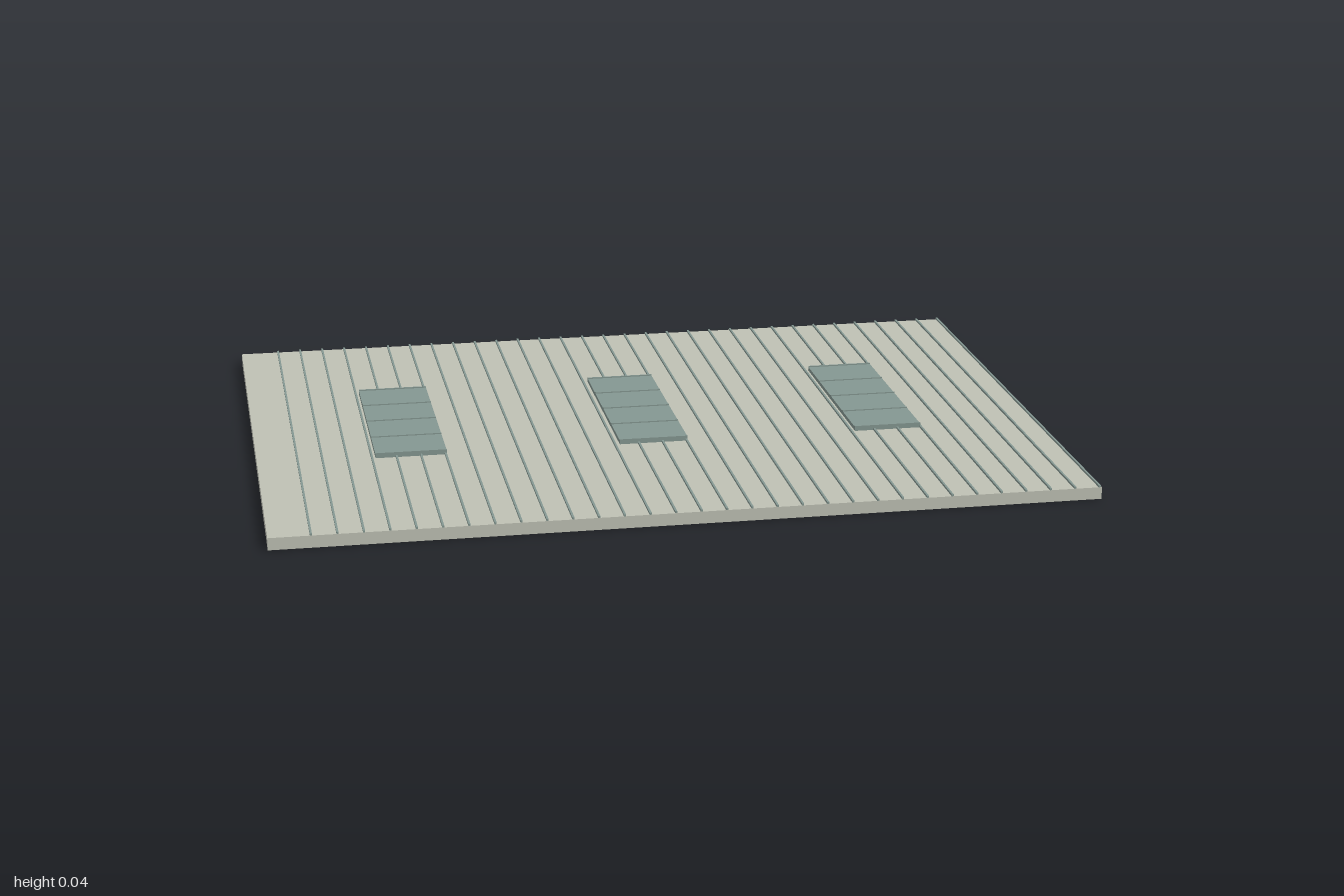
import * as THREE from 'three';

export function createModel() {
  const model = new THREE.Group();
  const sheet = new THREE.MeshStandardMaterial({ color: 0xbec0b4 });
  sheet.name = 'pale grey sheet';
  const glass = new THREE.MeshStandardMaterial({ color: 0x849791 });
  glass.name = 'grey green';

  // Box given by its limits on each axis
  const box = (name, material, [x0, x1], [y0, y1], [z0, z1], parent = model) => {
    const mesh = new THREE.Mesh(new THREE.BoxGeometry(x1 - x0, y1 - y0, z1 - z0), material);
    mesh.position.set((x0 + x1) / 2, (y0 + y1) / 2, (z0 + z1) / 2);
    mesh.name = name;
    parent.add(mesh);
  };

  // Roof slab
  const depth = 0.727, top = 0.03;
  box('roofSlab', sheet, [-1, 1], [0, top], [-depth, depth]);

  // Standing seams, with a wider plain strip at the right edge
  const seams = new THREE.Group();
  seams.name = 'seams';
  model.add(seams);
  for (let i = 0; i <= 31; i++) {
    const x = -0.9 + i * 0.0611;
    box('seam', glass, [x - 0.0025, x + 0.0025], [top, 0.035], [-depth, depth], seams);
  }

  // Skylights, each of four panes with thin cross bars at the joints
  const back = -0.31, front = 0.213, panes = 4;
  for (const [x0, x1] of [[-0.708, -0.53], [-0.093, 0.081], [0.516, 0.688]]) {
    const skylight = new THREE.Group();
    skylight.name = 'skylight';
    model.add(skylight);
    box('panes', glass, [x0, x1], [top, 0.04], [back, front], skylight);
    for (let i = 0; i <= panes; i++) {
      const z = back + 0.002 + (front - back - 0.004) * i / panes;
      box('crossBar', glass, [x0, x1], [0.04, 0.043], [z - 0.002, z + 0.002], skylight);
    }
  }
  return model;
}
